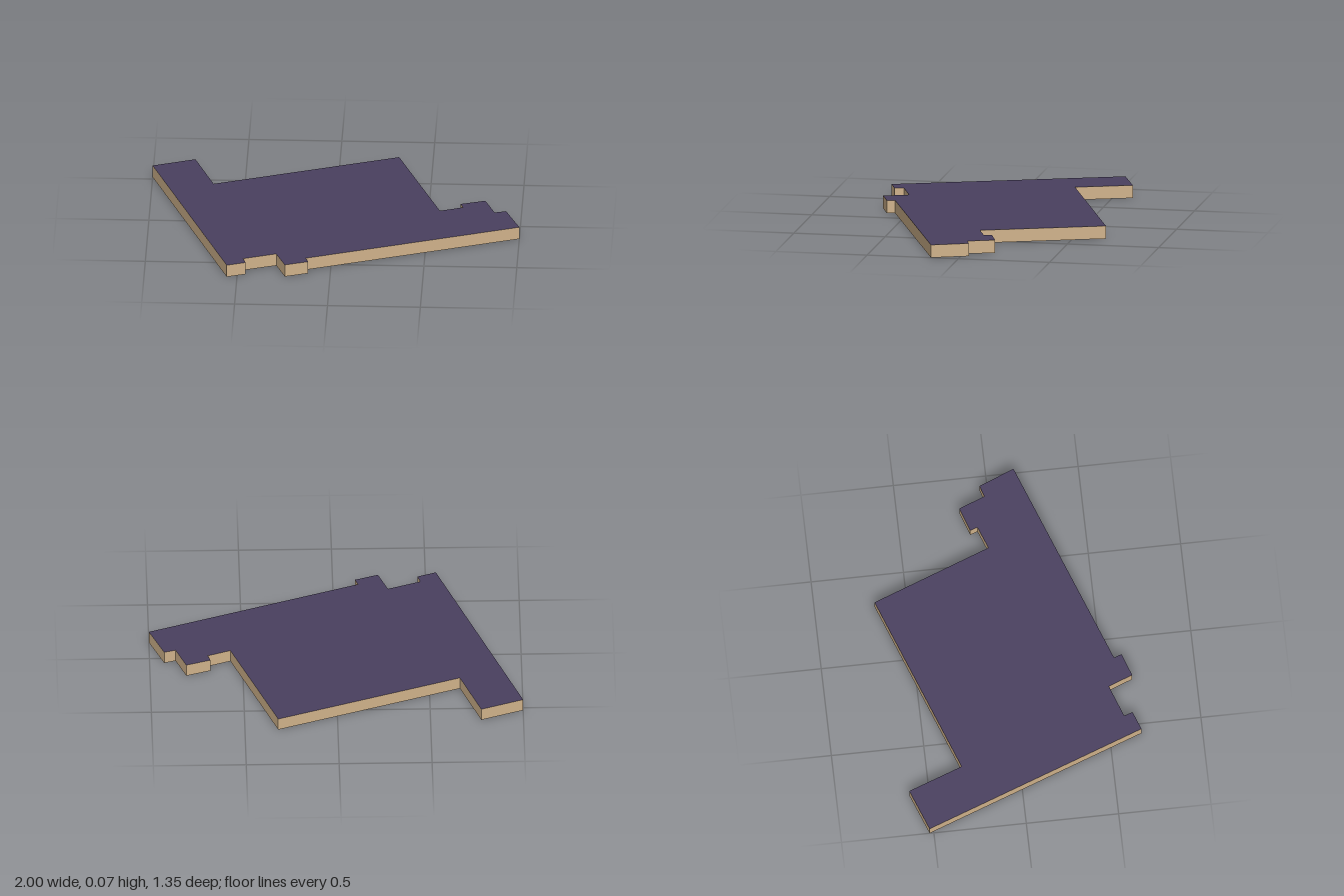
import * as THREE from 'three';

const HEIGHT = 0.07;

// Floor plan corners as [x, z], clockwise seen from above
const PLAN = [
  [-1, -0.523], [-0.773, -0.608], [-0.664, -0.313], [0.321, -0.676],
  [0.565, -0.033], [0.688, -0.079], [0.674, -0.12], [0.805, -0.164],
  [0.86, -0.023], [0.921, -0.042], [1, 0.15],
  [-0.134, 0.57], [-0.119, 0.612], [-0.243, 0.656], [-0.294, 0.524],
  [-0.47, 0.588], [-0.455, 0.635], [-0.555, 0.672],
];

// One upright quad per plan edge, facing outwards
function wallGeometry() {
  const positions = [];
  PLAN.forEach(([ax, az], i) => {
    const [bx, bz] = PLAN[(i + 1) % PLAN.length];
    positions.push(
      bx, 0, bz, ax, 0, az, ax, HEIGHT, az,
      bx, 0, bz, ax, HEIGHT, az, bx, HEIGHT, bz,
    );
  });
  const geometry = new THREE.BufferGeometry();
  geometry.setAttribute('position', new THREE.Float32BufferAttribute(positions, 3));
  geometry.computeVertexNormals();
  return geometry;
}

// Flat sheet closing the top of the walls
function roofGeometry() {
  const shape = new THREE.Shape(PLAN.map(([x, z]) => new THREE.Vector2(x, -z)));
  return new THREE.ShapeGeometry(shape).rotateX(-Math.PI / 2).translate(0, HEIGHT, 0);
}

export function createModel() {
  const wallMaterial = new THREE.MeshStandardMaterial({ color: 0xd2b48c, side: THREE.DoubleSide });
  wallMaterial.name = 'tan wall';
  const roofMaterial = new THREE.MeshStandardMaterial({ color: 0x4a4060, side: THREE.DoubleSide });
  roofMaterial.name = 'dark purple roof';

  const walls = new THREE.Mesh(wallGeometry(), wallMaterial);
  walls.name = 'walls';
  const roof = new THREE.Mesh(roofGeometry(), roofMaterial);
  roof.name = 'roof';

  const building = new THREE.Group();
  building.name = 'building';
  building.add(walls, roof);
  return building;
}
